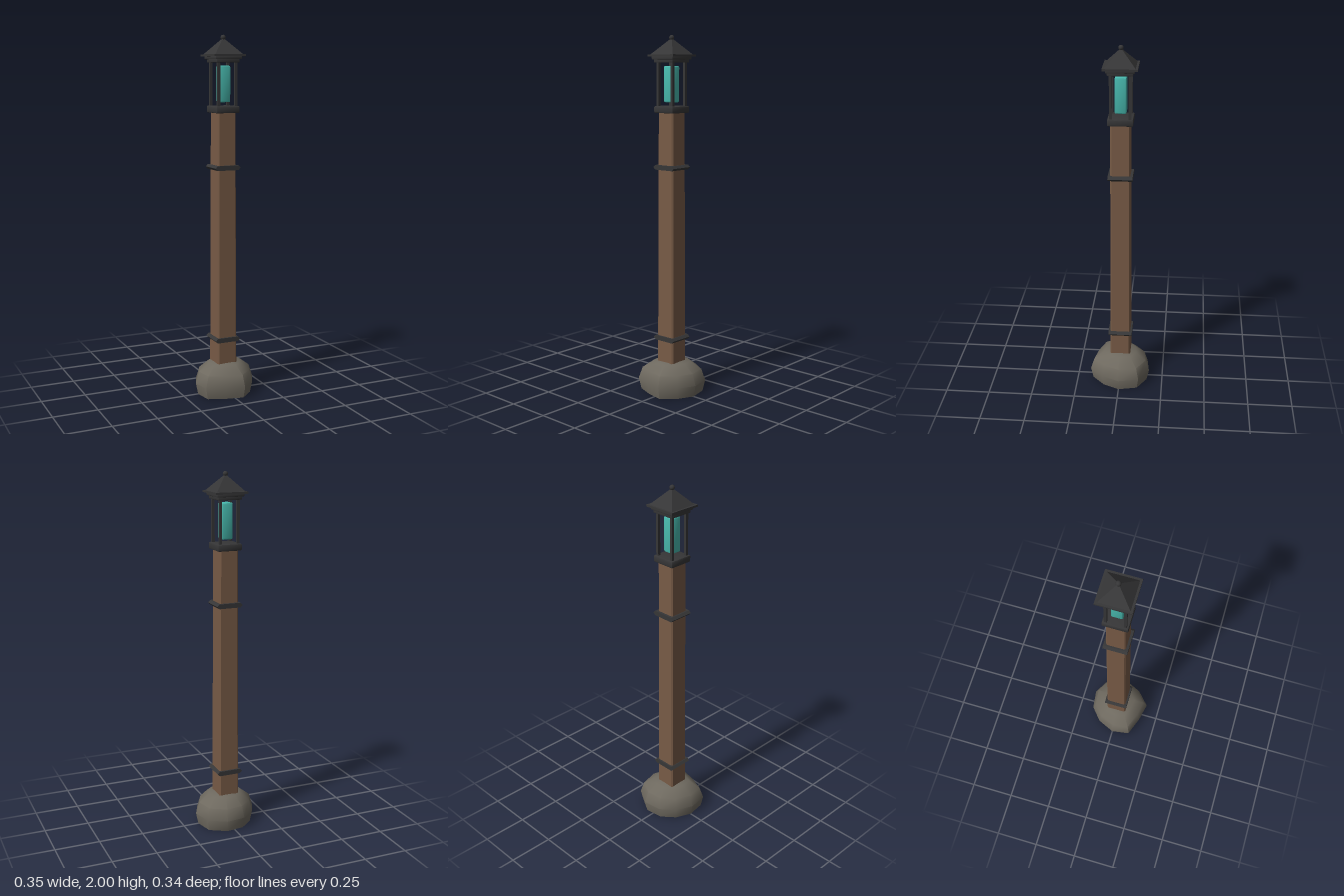
import * as THREE from 'three';
import { toCreasedNormals } from 'three/addons/utils/BufferGeometryUtils.js';
import { RoundedBoxGeometry } from 'three/addons/geometries/RoundedBoxGeometry.js';

const material = (name, color) => {
  const m = new THREE.MeshStandardMaterial({ color });
  m.name = name;
  return m;
};

// Boulder from scaled copies of one irregular outline
function boulderGeometry() {
  const outline = [
    [0.176, 0], [0.13, 0.098], [0.05, 0.172], [-0.055, 0.15], [-0.16, 0.11],
    [-0.177, 0], [-0.135, -0.095], [-0.058, -0.16], [0.05, -0.173], [0.15, -0.115],
  ];
  const rings = [[0.92, 0], [1, 0.065], [0.88, 0.13], [0.55, 0.175]];
  const n = outline.length, pos = [], index = [];
  for (const [s, y] of rings) for (const [x, z] of outline) pos.push(x * s, y, z * s);
  const bottom = pos.length / 3, top = bottom + 1;
  pos.push(0, 0, 0, 0, 0.185, 0);
  const last = (rings.length - 1) * n;
  for (let i = 0; i < n; i++) {
    const k = (i + 1) % n;
    for (let j = 0; j < last; j += n) {
      index.push(j + i, j + n + i, j + k, j + k, j + n + i, j + n + k);
    }
    index.push(bottom, i, k, top, last + k, last + i);
  }
  const g = new THREE.BufferGeometry();
  g.setAttribute('position', new THREE.Float32BufferAttribute(pos, 3));
  g.setIndex(index);
  return toCreasedNormals(g, 0.75);
}

// Square timber with chamfered corners, tapering to the top
function timberGeometry(h, half, c, taper) {
  const a = half - c, s = new THREE.Shape();
  s.setFromPoints([
    [half, -a], [half, a], [a, half], [-a, half], [-half, a], [-half, -a], [-a, -half], [a, -half],
  ].map(([x, y]) => new THREE.Vector2(x, y)));
  const g = new THREE.ExtrudeGeometry(s, { depth: h, bevelEnabled: false });
  g.rotateX(-Math.PI / 2);
  const p = g.attributes.position;
  for (let i = 0; i < p.count; i++) {
    const k = 1 - (1 - taper) * p.getY(i) / h;
    p.setX(i, p.getX(i) * k);
    p.setZ(i, p.getZ(i) * k);
  }
  g.computeVertexNormals();
  return g;
}

// Metal strap with pointed side edges
function strapGeometry() {
  const s = new THREE.Shape();
  s.setFromPoints([
    [0.075, 0], [0.062, 0.013], [-0.062, 0.013], [-0.075, 0], [-0.062, -0.013], [0.062, -0.013],
  ].map(([x, y]) => new THREE.Vector2(x, y)));
  return new THREE.ExtrudeGeometry(s, { depth: 0.136, bevelEnabled: false }).translate(0, 0, -0.068);
}

export function createModel() {
  const stone = material('stone', 0x6e695f);
  const wood = material('wood', 0x785b46);
  const iron = material('iron', 0x363637);
  const glass = material('glass', 0x48b9ae);

  const model = new THREE.Group();
  model.name = 'lampPost';
  const column = new THREE.Group();
  column.name = 'column';
  column.position.set(-0.006, 0, -0.002);
  model.add(column);

  const add = (name, geometry, mat, y, x = 0, z = 0, parent = column) => {
    const m = new THREE.Mesh(geometry, mat);
    m.name = name;
    m.position.set(x, y, z);
    parent.add(m);
    return m;
  };
  const slab = (w, y0, y1, r) =>
    toCreasedNormals(new RoundedBoxGeometry(w, y1 - y0, w, 1, r).translate(0, (y0 + y1) / 2, 0), 0.4);

  add('boulder', boulderGeometry(), stone, 0, 0, 0, model);

  // Timber post and straps
  add('post', timberGeometry(1.49, 0.059, 0.008, 0.9), wood, 0.1);
  for (const y of [0.315, 1.285]) add('strap', strapGeometry(), iron, y);

  // Lantern cage
  add('lanternBase', slab(0.138, 1.583, 1.62, 0.006), iron, 0);
  for (const x of [-1, 1]) for (const z of [-1, 1]) {
    add('cageBar', new THREE.BoxGeometry(0.015, 0.25, 0.015), iron, 1.737, x * 0.051, z * 0.051);
  }
  add('lampGlass', slab(0.063, 1.64, 1.836, 0.008), glass, 0);
  add('lanternTop', slab(0.136, 1.853, 1.876, 0.003), iron, 0);
  add('cornice', slab(0.154, 1.87, 1.888, 0.003), iron, 0);

  // Roof and finial
  add('eave', new THREE.BoxGeometry(0.186, 0.011, 0.186), iron, 1.891);
  const roof = new THREE.CylinderGeometry(0.008, 0.082 * Math.SQRT2, 0.082, 4, 1).toNonIndexed();
  roof.rotateY(Math.PI / 4);
  roof.computeVertexNormals();
  add('roof', roof, iron, 1.937);
  add('finial', new THREE.SphereGeometry(0.014, 12, 8), iron, 1.986);

  return model;
}
